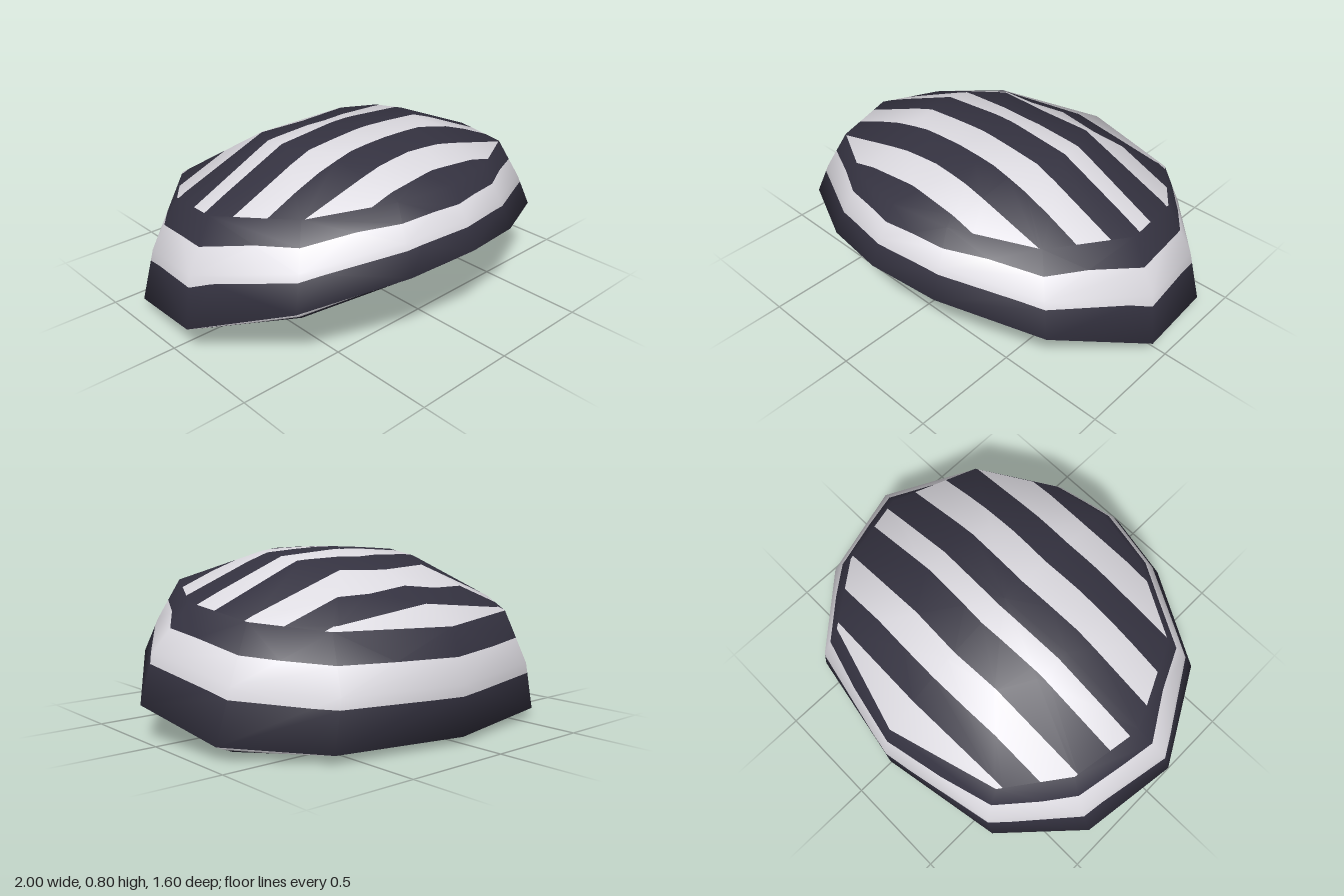
import * as THREE from 'three';

// Half outlines [x, y, z], running front -> left side -> back
const LIP = [[0, .33, .68], [.29, .32, .64], [.67, .235, .47], [.88, .1, .1], [.8, 0, -.27], [.55, .005, -.58], [0, .02, -.74]];
const RIM = [[0, .43, .8], [.32, .40, .745], [.75, .31, .53], [1, .155, .12], [.93, .06, -.35], [.61, .04, -.69], [0, .03, -.8]];
const WALL = [[0, .55, .745], [.3, .53, .69], [.7, .46, .49], [.95, .38, .09], [.86, .29, -.35], [.57, .26, -.68], [0, .25, -.8]];
const SHOULDER = [[0, .68, .66], [.27, .675, .61], [.62, .645, .42], [.8, .585, .04], [.74, .53, -.3], [.53, .5, -.58], [0, .49, -.73]];
const CROWN = [[0, .78, .33], [.14, .78, .31], [.3, .775, .21], [.36, .77, .02], [.35, .745, -.15], [.25, .71, -.31], [0, .69, -.35]];

// Stripe edges along z at the middle: a stripe between the 1st and 2nd, 3rd and 4th, ...
const STRIPES = [-.78, -.575, -.445, -.31, -.14, -.035, .115, .26, .405, .545];
const SWEEP = .035; // how far the stripes bend forward towards the sides

const mirror = half => [...half, ...half.slice(1, -1).reverse().map(([x, y, z]) => [-x, y, z])];
const shrink = (half, s, ky, dy) => half.map(([x, y, z]) => [x * s, y * ky + dy, z * s]);

// Loft rings up to an apex: triangles of [x, y, z, nx, ny, nz, level, stripe], smooth within the shell
function shell(halves, apex, flip) {
  const rings = halves.map(mirror), n = rings[0].length;
  const points = [...rings.flat(), apex];
  const index = [];
  const add = (a, b, c) => index.push(...(flip ? [a, c, b] : [a, b, c]));
  rings.forEach((_, r) => {
    for (let k = 0; k < n; k++) {
      const a = r * n + k, b = r * n + (k + 1) % n;
      if (r === rings.length - 1) add(a, b, points.length - 1);
      // diagonals mirrored between the two sides
      else if (k < n / 2) { add(a, b, b + n); add(a, b + n, a + n); }
      else { add(a, b, a + n); add(b, b + n, a + n); }
    }
  });
  const g = new THREE.BufferGeometry();
  g.setAttribute('position', new THREE.Float32BufferAttribute(points.flat(), 3));
  g.setIndex(index);
  g.computeVertexNormals();
  const nor = g.attributes.normal;
  const verts = points.map((p, i) => [
    ...p, nor.getX(i), nor.getY(i), nor.getZ(i), Math.floor(i / n), p[2] - SWEEP * Math.abs(p[0]),
  ]);
  const tris = [];
  for (let i = 0; i < index.length; i += 3) tris.push([0, 1, 2].map(j => verts[index[i + j]]));
  return tris;
}

// Keep the part of every polygon where component c lies between lo and hi
function clip(polys, c, lo, hi) {
  const cut = (poly, sign, limit) => {
    const out = [];
    poly.forEach((p, i) => {
      const q = poly[(i + 1) % poly.length];
      const dp = sign * (p[c] - limit), dq = sign * (q[c] - limit);
      if (dp >= 0) out.push(p);
      if (dp * dq < 0) out.push(p.map((v, j) => v + (q[j] - v) * dp / (dp - dq)));
    });
    return out;
  };
  return polys.map(p => cut(cut(p, 1, lo), -1, hi)).filter(p => p.length > 2);
}

function toMesh(name, polys, material) {
  const pos = [], nor = [];
  for (const poly of polys)
    for (let i = 1; i < poly.length - 1; i++)
      for (const v of [poly[0], poly[i], poly[i + 1]]) {
        pos.push(v[0], v[1], v[2]);
        nor.push(v[3], v[4], v[5]);
      }
  const g = new THREE.BufferGeometry();
  g.setAttribute('position', new THREE.Float32BufferAttribute(pos, 3));
  g.setAttribute('normal', new THREE.Float32BufferAttribute(nor, 3));
  const mesh = new THREE.Mesh(g, material);
  mesh.name = name;
  return mesh;
}

export function createModel() {
  const make = (name, color) => Object.assign(new THREE.MeshStandardMaterial({ color }), { name });
  const navy = make('dark navy', 0x343240);
  const pale = make('pale grey', 0xdcdae0);
  const liningGrey = make('lining grey', 0x767382);
  const liningDark = make('lining dark', 0x2a2832);
  const group = new THREE.Group();
  group.name = 'stripedCap';
  const LEVEL = 6, STRIPE = 7;

  // Split a surface into alternating stripes across z
  const addStripes = (name, polys, stripe, gap) => {
    const edges = [-2, ...STRIPES, 2];
    for (let i = 0; i < edges.length - 1; i++) {
      const part = clip(polys, STRIPE, edges[i], edges[i + 1]);
      if (part.length) group.add(toMesh(name + (i % 2 ? 'Stripe' : 'Gap'), part, i % 2 ? stripe : gap));
    }
  };

  // Turned-in lip and outer dome: bands that follow the rim, then the striped top
  const dome = shell([LIP, RIM, WALL, SHOULDER, CROWN], [0, .795, 0], false);
  const bands = [
    ['lipInner', 0, .4, navy],
    ['lipOuter', .4, 1, pale],
    ['lowerBand', 1, 1.78, navy],
    ['sideBand', 1.78, 2.48, pale],
    ['upperBand', 2.48, 3, navy],
  ];
  for (const [name, lo, hi, material] of bands) group.add(toMesh(name, clip(dome, LEVEL, lo, hi), material));
  addStripes('top', clip(dome, LEVEL, 3, 9), pale, navy);

  // Hollow underside, striped the other way round
  const hollow = shell([LIP, shrink(LIP, .8, .7, .11), shrink(LIP, .5, .4, .29)], [0, .45, 0], true);
  addStripes('lining', hollow, liningDark, liningGrey);
  return group;
}
